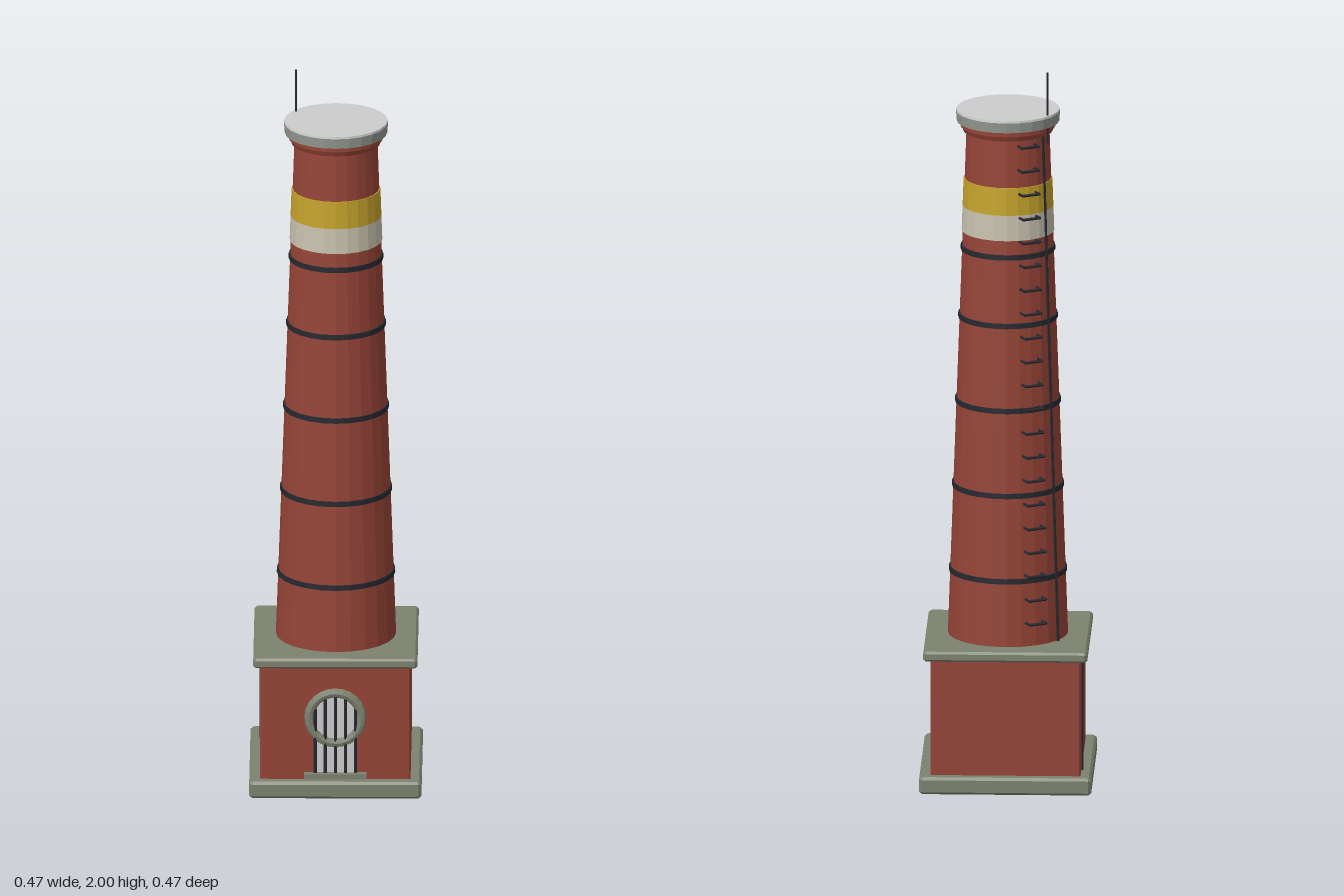
import * as THREE from 'three';

const SIDES = 24;
const mat = (name, color) => {
  const m = new THREE.MeshStandardMaterial({ color, flatShading: true });
  m.name = name;
  return m;
};

// Shaft radius at a given height
const shaftRadius = (y) => THREE.MathUtils.mapLinear(y, 0.4, 1.83, 0.164, 0.113);

export function createModel() {
  const brick = mat('brick red', 0x964437);
  const concrete = mat('concrete', 0x7d826f);
  const pale = mat('pale grey', 0xcdcdcd);
  const capGrey = mat('cap grey', 0x929890);
  const iron = mat('dark iron', 0x25282f);
  const yellow = mat('yellow', 0xc6a42c);
  const cream = mat('cream', 0xc9c2af);

  const model = new THREE.Group();
  model.name = 'chimney';
  const add = (name, geometry, material, parent = model) => {
    const mesh = new THREE.Mesh(geometry, material);
    mesh.name = name;
    parent.add(mesh);
    return mesh;
  };

  // Square slab with bevelled edges and clipped corners
  const slab = (name, half, y0, y1, bevel, material) => {
    const h = half - bevel, c = bevel * 0.6;
    const shape = new THREE.Shape([
      [h, -h + c], [h, h - c], [h - c, h], [-h + c, h],
      [-h, h - c], [-h, -h + c], [-h + c, -h], [h - c, -h],
    ].map(([x, y]) => new THREE.Vector2(x, y)));
    const g = new THREE.ExtrudeGeometry(shape, {
      depth: y1 - y0 - 2 * bevel, bevelSize: bevel, bevelThickness: bevel, bevelSegments: 1,
    });
    g.rotateX(-Math.PI / 2).translate(0, y0 + bevel, 0);
    return add(name, g, material);
  };

  // Upright round section
  const drum = (name, y0, y1, r0, r1, material, open = false) => {
    const g = new THREE.CylinderGeometry(r1, r0, y1 - y0, SIDES, 1, open);
    return add(name, g.translate(0, (y0 + y1) / 2, 0), material);
  };

  // Straight bar between two points
  const bar = (name, a, b, r, parent = model) => {
    const from = new THREE.Vector3(...a), to = new THREE.Vector3(...b);
    const dir = to.clone().sub(from);
    const mesh = add(name, new THREE.CylinderGeometry(r, r, dir.length(), 6), iron, parent);
    mesh.position.copy(from).add(to).multiplyScalar(0.5);
    mesh.quaternion.setFromUnitVectors(new THREE.Vector3(0, 1, 0), dir.normalize());
    return mesh;
  };

  // Pedestal
  slab('plinth', 0.235, 0, 0.048, 0.007, concrete);
  slab('pedestal', 0.205, 0.045, 0.378, 0.003, brick);
  slab('pedestalSlab', 0.224, 0.372, 0.4, 0.006, concrete);

  // Tapered shaft with iron hoops and painted bands
  drum('shaft', 0.398, 1.83, shaftRadius(0.398), shaftRadius(1.83), brick);
  const band = (name, y0, y1, proud, material) =>
    drum(name, y0, y1, shaftRadius(y0) + proud, shaftRadius(y1) + proud, material);
  for (const y of [0.583, 0.822, 1.06, 1.298, 1.49]) band('ironHoop', y - 0.007, y + 0.007, 0.004, iron);
  band('creamBand', 1.537, 1.608, 0.003, cream);
  band('yellowBand', 1.608, 1.685, 0.003, yellow);

  // Corbelled crown and cap
  drum('lowerCorbel', 1.818, 1.832, 0.122, 0.128, brick);
  drum('upperCorbel', 1.832, 1.848, 0.13, 0.13, brick);
  drum('capRing', 1.846, 1.874, 0.14, 0.142, capGrey);
  drum('capTop', 1.874, 1.88, 0.142, 0.141, pale);

  // Arched doorway with a grille, round surround and sill
  const door = new THREE.Group();
  door.name = 'door';
  model.add(door);
  const arch = new THREE.Shape();
  arch.moveTo(-0.058, 0.055);
  arch.lineTo(0.058, 0.055);
  arch.lineTo(0.058, 0.225);
  arch.absarc(0, 0.225, 0.058, 0, Math.PI, false);
  arch.closePath();
  const panel = new THREE.ExtrudeGeometry(arch, { depth: 0.004, bevelEnabled: false, curveSegments: 10 });
  add('doorPanel', panel.translate(0, 0, 0.203), pale, door);
  for (let i = -2; i <= 2; i++) {
    const x = i * 0.0275;
    const top = 0.225 + Math.sqrt(0.061 ** 2 - x * x);
    bar('grilleBar', [x, 0.06, 0.21], [x, top, 0.21], 0.005, door);
  }
  const ring = new THREE.TorusGeometry(0.072, 0.013, 8, SIDES).scale(1, 1, 0.8);
  add('doorSurround', ring.translate(0, 0.225, 0.206), concrete, door);
  add('doorSill', new THREE.BoxGeometry(0.17, 0.014, 0.03).translate(0, 0.061, 0.211), concrete, door);

  // Climbing irons: U-shaped staples up the back
  const ladder = new THREE.Group();
  ladder.name = 'climbingIrons';
  ladder.rotation.y = Math.PI + 0.5;
  model.add(ladder);
  for (let i = 0; i < 21; i++) {
    const y = 0.465 + i * 0.0668;
    const r = shaftRadius(y), out = r + 0.022;
    bar('rung', [-0.027, y, out], [0.027, y, out], 0.004, ladder);
    for (const x of [-0.025, 0.025]) bar('rungLeg', [x, y, r - 0.008], [x, y, out], 0.004, ladder);
  }

  // Lightning rod and its down conductor
  bar('lightningRod', [-0.11, 1.8, -0.072], [-0.11, 2, -0.072], 0.003);
  const a = Math.atan2(-0.085, -0.13);
  const onShaft = (y, gap) => {
    const r = shaftRadius(y) + gap;
    return [r * Math.cos(a), y, r * Math.sin(a)];
  };
  bar('shaftConductor', onShaft(1.84, 0.003), onShaft(0.4, 0.003), 0.004);
  bar('pedestalConductor', [-0.207, 0.375, -0.137], [-0.207, 0.045, -0.137], 0.004);

  return model;
}
